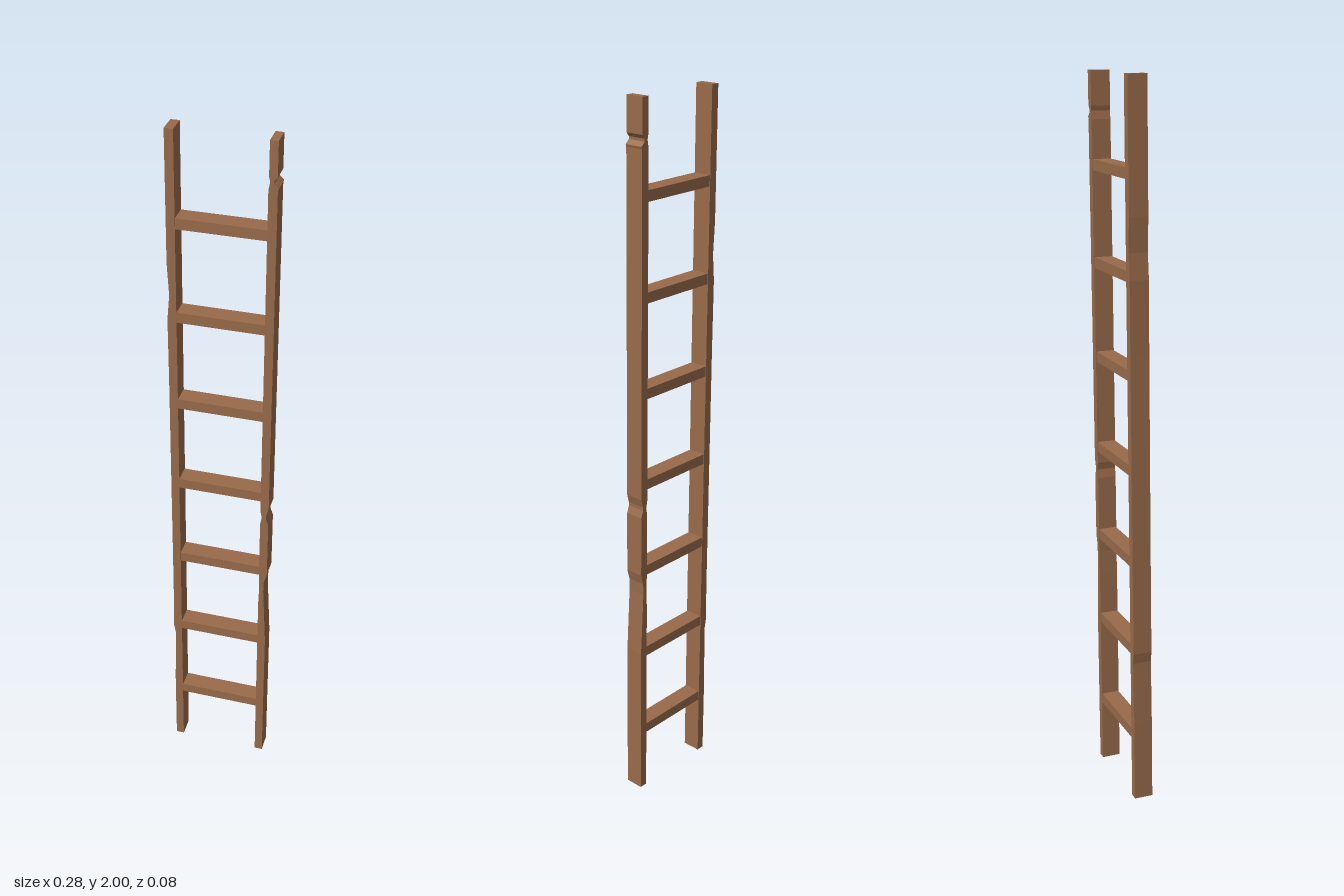
import * as THREE from 'three';

const DEPTH = 0.053;
const LEAN = -0.0135; // z drift per unit of height
const BASE_Z = 0.0125;

const wood = new THREE.MeshStandardMaterial({ color: 0x996b4a, flatShading: true });

// Shear a geometry backwards so the ladder leans while its ends stay level
function lean(geometry) {
  const p = geometry.attributes.position;
  for (let i = 0; i < p.count; i++) p.setZ(i, p.getZ(i) + BASE_Z + LEAN * p.getY(i));
  geometry.computeVertexNormals();
  return geometry;
}

// Rail cut from an [x, y] outline: outer edge going up, inner edge going down
function rail(name, side, outer, inner) {
  const points = [...outer, ...inner].map(([x, y]) => new THREE.Vector2(side * x, y));
  const geometry = new THREE.ExtrudeGeometry(new THREE.Shape(points), { depth: DEPTH, bevelEnabled: false });
  geometry.translate(0, 0, -DEPTH / 2);
  const mesh = new THREE.Mesh(lean(geometry), wood);
  mesh.name = name;
  return mesh;
}

export function createModel() {
  const ladder = new THREE.Group();
  ladder.name = 'ladder';

  // Worn left rail with chipped notches
  ladder.add(rail('leftRail', 1,
    [[0.138, 0], [0.138, 0.46], [0.129, 0.645], [0.130, 0.68], [0.138, 0.71], [0.138, 0.885],
      [0.131, 0.905], [0.131, 0.915], [0.138, 0.94], [0.138, 1.875], [0.14, 1.882],
      [0.129, 1.893], [0.129, 1.9], [0.137, 1.91], [0.137, 2]],
    [[0.116, 2], [0.116, 1.91], [0.119, 1.897], [0.115, 1.875], [0.115, 0.93],
      [0.119, 0.91], [0.115, 0.885], [0.115, 0.71], [0.117, 0.66], [0.115, 0.6], [0.115, 0]]));

  // Right rail with shallower wear
  ladder.add(rail('rightRail', -1,
    [[0.139, 0], [0.139, 0.24], [0.135, 0.42], [0.14, 0.45], [0.139, 0.6], [0.139, 1.3],
      [0.14, 1.49], [0.134, 1.56], [0.139, 1.65], [0.139, 2]],
    [[0.116, 2], [0.116, 0]]));

  // Seven evenly spaced rungs
  for (let i = 0; i < 7; i++) {
    const geometry = new THREE.BoxGeometry(0.236, 0.029, DEPTH - 0.003);
    geometry.translate(0, 0.197 + i * 0.2602, 0);
    const rung = new THREE.Mesh(lean(geometry), wood);
    rung.name = `rung${i + 1}`;
    ladder.add(rung);
  }
  return ladder;
}
